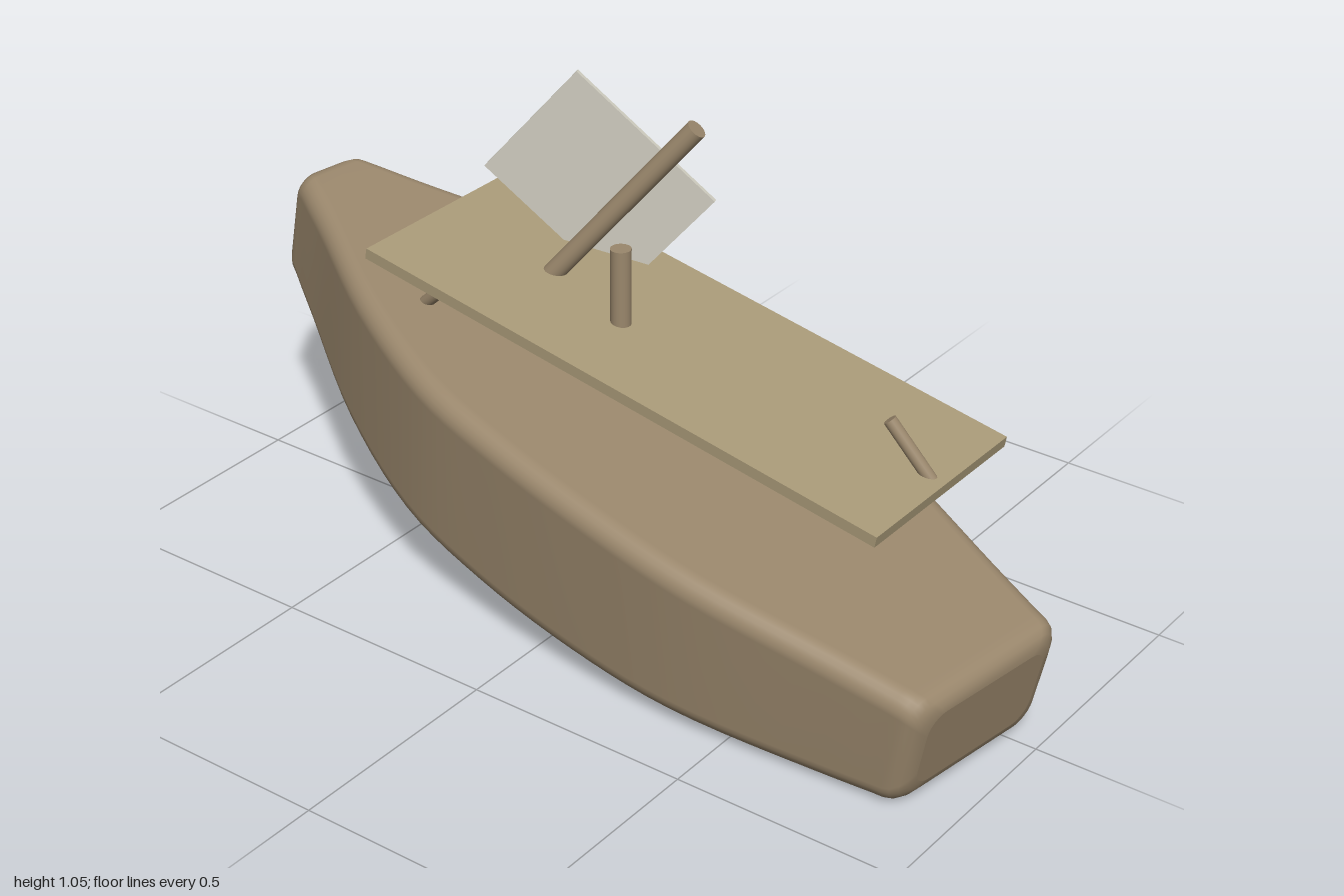
import * as THREE from 'three';

const deg = Math.PI / 180;
const material = (color) => new THREE.MeshStandardMaterial({ color, roughness: 0.8 });
const wood = material(0x9a876c);
const paleWood = material(0xa99a78);
const cloth = material(0xd2cfc2);
const dark = material(0x4a4234);

function part(name, geometry, mat) {
  const mesh = new THREE.Mesh(geometry, mat);
  mesh.name = name;
  return mesh;
}

// Round bar between two points
function rod(name, from, to, radius) {
  const a = new THREE.Vector3(...from), b = new THREE.Vector3(...to);
  const dir = b.clone().sub(a);
  const mesh = part(name, new THREE.CylinderGeometry(radius, radius, dir.length(), 20), wood);
  mesh.position.copy(a).add(b).multiplyScalar(0.5);
  mesh.quaternion.setFromUnitVectors(new THREE.Vector3(0, 1, 0), dir.normalize());
  return mesh;
}

// Half width of the deck along the hull, stern to bow
const beam = new THREE.SplineCurve([
  [-0.905, 0.21], [-0.7, 0.256], [-0.4, 0.326], [-0.15, 0.352], [0.12, 0.36], [0.36, 0.345],
  [0.635, 0.267], [0.9, 0.152], [1.065, 0.085],
].map(([s, w]) => new THREE.Vector2(s, w)));

// Rounded box section, counterclockwise, slightly narrower at the keel
function section(s, halfWidth, inset) {
  const top = 0.476 - inset;
  const bottom = 0.095 + 0.12 * ((s - 0.08) / 0.985) ** 2 + inset;
  const w = halfWidth - inset, r = Math.min(0.045, w * 0.7), ring = [];
  const corners = [[1, 1, 0], [-1, 1, 90], [-1, -1, 180], [1, -1, 270]];
  for (const [sx, sy, start] of corners) {
    for (let k = 0; k <= 6; k++) {
      const a = (start + k * 15) * deg;
      const y = (sy > 0 ? top - r : bottom + r) + r * Math.sin(a);
      const taper = 0.955 + 0.045 * (y - 0.1) / 0.376;
      ring.push([(sx * (w - r) + r * Math.cos(a)) * taper, y, -s]);
    }
  }
  return ring;
}

function hullGeometry() {
  const rings = [];
  const round = 0.04;
  // Rounded stern, body, rounded bow
  for (let k = 0; k <= 4; k++) {
    const a = k * 22.5 * deg;
    rings.push(section(-0.905 + round * (1 - Math.cos(a)), 0.212 + 0.002 * k, round * (1 - Math.sin(a))));
  }
  for (let k = 1; k < 40; k++) {
    const p = beam.getPoint(k / 40);
    if (p.x > -0.85 && p.x < 1.01) rings.push(section(p.x, p.y, 0));
  }
  for (let k = 0; k <= 4; k++) {
    const a = k * 22.5 * deg;
    rings.push(section(1.025 + round * Math.sin(a), 0.1 - 0.001 * k, round * (1 - Math.cos(a))));
  }
  const n = rings[0].length, index = [];
  const points = rings.flat();
  for (let i = 0; i < rings.length - 1; i++) {
    for (let j = 0; j < n; j++) {
      const a = i * n + j, b = i * n + (j + 1) % n;
      index.push(a, a + n, b, b, a + n, b + n);
    }
  }
  // End caps
  for (const end of [0, rings.length - 1]) {
    const ring = rings[end], base = points.length;
    const mid = (ring[0][1] + ring[n - 1][1]) / 2;
    points.push(...ring, [0, mid, ring[0][2]]);
    for (let j = 0; j < n; j++) {
      const a = base + j, b = base + (j + 1) % n;
      index.push(base + n, ...(end === 0 ? [a, b] : [b, a]));
    }
  }
  const geometry = new THREE.BufferGeometry();
  geometry.setAttribute('position', new THREE.Float32BufferAttribute(points.flat(), 3));
  geometry.setIndex(index);
  geometry.computeVertexNormals();
  return geometry;
}

export function createModel() {
  const model = new THREE.Group();
  model.name = 'boat';

  // Hull, bow raised and turned a little
  const hull = part('hull', hullGeometry(), wood);
  hull.rotation.set(12.3 * deg, -8.2 * deg, 0, 'YXZ');
  model.add(hull);

  // Sloping deck board
  const board = part('deckBoard', new THREE.BoxGeometry(0.475, 0.024, 1.28), paleWood);
  board.position.set(0.048, 0.597, 0.1);
  board.rotation.x = 10.3 * deg;
  model.add(board);

  // Post and loose spars
  model.add(
    rod('post', [0.008, 0.6, -0.02], [0.008, 0.797, -0.02], 0.022),
    rod('longSpar', [0.025, 0.57, -0.3], [0.16, 1.025, 0.055], 0.022),
    rod('frontPeg', [0.06, 0.475, 0.71], [0.037, 0.605, 0.61], 0.014),
    rod('rearPeg', [-0.085, 0.56, -0.48], [-0.09, 0.615, -0.42], 0.014),
  );

  // Disc under the board
  const disc = part('disc', new THREE.CylinderGeometry(0.085, 0.085, 0.04, 24), dark);
  disc.position.set(0.195, 0.5, 0.225);
  model.add(disc);

  // Thin tilted sail panel
  const sail = part('sail', new THREE.BoxGeometry(0.39, 0.315, 0.01), cloth);
  sail.position.set(0.189, 0.82, -0.213);
  sail.rotation.set(0, -70 * deg, -40.5 * deg, 'YXZ');
  model.add(sail);

  return model;
}
